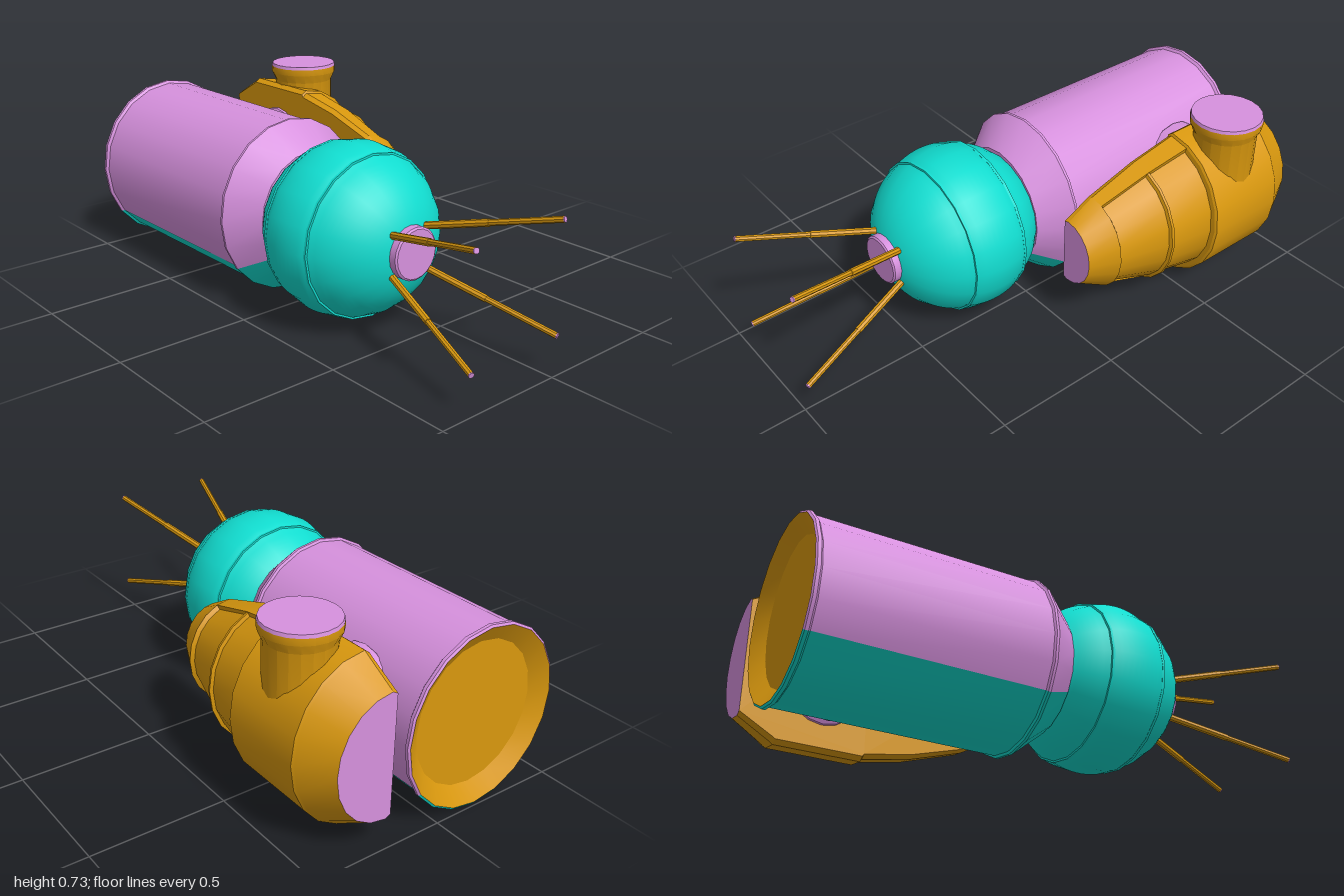
import * as THREE from 'three';
import { toCreasedNormals } from 'three/addons/utils/BufferGeometryUtils.js';

const paint = (color) => new THREE.MeshStandardMaterial({ color, side: THREE.DoubleSide });
const RAD = Math.PI / 180;
const STEP = 18; // every round part has 20 sides

// Lathe around z from [radius, z] points; angles run in degrees from straight down towards +x.
function latheZ(points, from = 0, to = 360) {
  const profile = points.map(([r, z]) => new THREE.Vector2(r, z));
  const geo = new THREE.LatheGeometry(profile, Math.round((to - from) / STEP), from * RAD, (to - from) * RAD);
  return geo.rotateX(Math.PI / 2);
}

export function createModel() {
  const gold = paint(0xd9980e), teal = paint(0x11ddd0), pink = paint(0xd791de);
  const model = new THREE.Group();
  model.name = 'spacecraft';

  function add(parent, name, geo, material) {
    const mesh = new THREE.Mesh(toCreasedNormals(geo, 0.45), material);
    mesh.name = name;
    parent.add(mesh);
    return mesh;
  }

  // Main hull: drum with a rear rim and a front taper, darker belly sector
  const hull = new THREE.Group();
  hull.name = 'hull';
  hull.position.set(-0.172, 0.335, 0);
  model.add(hull);
  const hullProfile = [
    [0.325, -0.995], [0.333, -0.99], [0.333, -0.978], [0.323, -0.97], [0.323, -0.145],
    [0.332, -0.14], [0.332, -0.13], [0.235, -0.012], [0.2, -0.012],
  ];
  const drum = add(hull, 'hullUpper', latheZ(hullProfile, 54, 306), pink);
  const belly = add(hull, 'hullBelly', latheZ(hullProfile, -54, 54), teal);
  const dish = add(hull, 'rearDish', latheZ([[0, -0.955], [0.262, -0.955], [0.325, -0.995]]), gold);
  for (const part of [drum, belly, dish]) part.scale.x = 0.96;

  // Front ball with a slightly raised band around its middle
  const ballProfile = [];
  const R = 0.315, CZ = 0.213;
  const ballRadius = (z) => Math.sqrt(Math.max(0, R * R - (z - CZ) ** 2));
  for (let a = -46; a <= 90; a += 4) {
    const z = CZ + R * Math.sin(a * RAD);
    const raised = z > 0.105 && z < 0.322 ? 0.005 : 0;
    ballProfile.push([R * Math.cos(a * RAD) + raised, z]);
  }
  add(hull, 'frontBall', latheZ(ballProfile), teal);
  for (const z of [0.105, 0.322]) {
    const r = ballRadius(z);
    add(hull, 'ballSeam', latheZ([[r - 0.01, z - 0.006], [r + 0.006, z - 0.005], [r + 0.006, z + 0.005], [r - 0.01, z + 0.006]]), teal);
  }
  add(hull, 'noseDisc', latheZ([[0.095, 0.49], [0.095, 0.54], [0.088, 0.545], [0, 0.545]]), pink);

  // Four splayed antennas, each a sleeve, a thinner rod and a tip
  function rod(name, a, b, r, material) {
    const dir = b.clone().sub(a);
    const mesh = add(hull, name, new THREE.CylinderGeometry(r, r, dir.length(), 8), material);
    mesh.position.copy(a).add(b).multiplyScalar(0.5);
    mesh.quaternion.setFromUnitVectors(new THREE.Vector3(0, 1, 0), dir.normalize());
  }
  for (const sx of [-1, 1]) for (const sy of [-1, 1]) {
    const base = new THREE.Vector3(sx * 0.07, sy * 0.07, 0.49);
    const tip = new THREE.Vector3(sx * 0.201, sy * 0.199, 0.988);
    const at = (t) => base.clone().lerp(tip, t);
    rod('antennaSleeve', at(0), at(0.5), 0.0135, gold);
    rod('antennaRod', at(0.5), at(0.995), 0.011, gold);
    rod('antennaTip', at(0.99), at(1.003), 0.0105, pink);
  }

  // Side pod: half-round body, flat on its inner side
  const pod = new THREE.Group();
  pod.name = 'sidePod';
  pod.position.set(0.22, 0.335, 0);
  model.add(pod);
  const FLAT = -0.02, SQUASH = 0.88;
  // Squash the pod and press everything beyond the flat side onto it
  function press(geo) {
    const p = geo.attributes.position;
    for (let i = 0; i < p.count; i++) {
      const onAxis = Math.hypot(p.getX(i), p.getY(i)) < 1e-5;
      p.setX(i, onAxis || p.getX(i) < -1e-5 ? FLAT : p.getX(i) * SQUASH);
    }
    return geo;
  }
  const rear = [[0.228, -0.988], [0.3, -0.865], [0.308, -0.855], [0.308, -0.53], [0.298, -0.525]];
  const cone = [[0.298, -0.525], [0.262, -0.34], [0.195, -0.13]];
  const front = [[0.195, -0.13], [0.135, -0.02]];
  const inset = [
    [0.298, -0.525], [0.278, -0.523], [0.246, -0.35], [0.26, -0.346],
    [0.258, -0.336], [0.244, -0.332], [0.18, -0.14], [0.195, -0.13],
  ];
  add(pod, 'podRear', press(latheZ(rear, -18, 198)), gold);
  add(pod, 'podFront', press(latheZ(front, -18, 198)), gold);
  add(pod, 'podLowerFrame', press(latheZ(cone, -18, 18)), gold);
  add(pod, 'podUpperFrame', press(latheZ(cone, 162, 198)), gold);
  add(pod, 'podInsetPanel', press(latheZ(inset, 18, 162)), gold);
  add(pod, 'podRearCap', press(latheZ([[0, -0.988], [0.228, -0.988]], -18, 198)), pink);
  add(pod, 'podFrontCap', press(latheZ([[0.135, -0.02], [0, -0.02]], -18, 198)), pink);

  // Walls at both edges of the inset panel
  const wall = new THREE.Shape([...inset, cone[1]].map(([r, z]) => new THREE.Vector2(r, z)));
  for (const phi of [18, 162]) {
    const geo = new THREE.ShapeGeometry(wall).rotateY((phi - 90) * RAD).rotateX(Math.PI / 2);
    add(pod, 'podPanelEdge', press(geo), gold);
  }

  // Flat inner side of the pod
  const outline = [...rear, ...cone, ...front].map(([r, z]) => [r * Math.cos(STEP * RAD), z]);
  const side = new THREE.Shape([
    ...outline.map(([r, z]) => new THREE.Vector2(z, r)),
    ...outline.slice().reverse().map(([r, z]) => new THREE.Vector2(z, -r)),
  ]);
  add(pod, 'podInnerSide', new THREE.ShapeGeometry(side).rotateY(-Math.PI / 2).translate(FLAT, 0, 0), gold);

  // Upright stack on the pod, with collar and lid
  const stackProfile = [[0.12, 0.335], [0.12, 0.655], [0.136, 0.69], [0.136, 0.715], [0.133, 0.721]];
  const toVectors = (pts) => pts.map(([r, y]) => new THREE.Vector2(r, y));
  const stack = add(model, 'podStack', new THREE.LatheGeometry(toVectors(stackProfile), 20), gold);
  const lid = add(model, 'stackLid', new THREE.LatheGeometry(toVectors([[0.136, 0.715], [0.133, 0.727], [0, 0.727]]), 20), pink);
  for (const part of [stack, lid]) part.position.set(0.336, 0, -0.69);

  // Oval coupling between hull and pod
  const couplingProfile = [
    [0, 0.06], [0.2, 0.06], [0.215, 0.075], [0.215, 0.138], [0.188, 0.15],
    [0.182, 0.172], [0.208, 0.187], [0.208, 0.205],
  ];
  const coupling = add(model, 'coupling', latheZ(couplingProfile).rotateY(Math.PI / 2), pink);
  coupling.position.set(0, 0.335, -0.692);
  coupling.scale.z = 0.79;

  return model;
}
